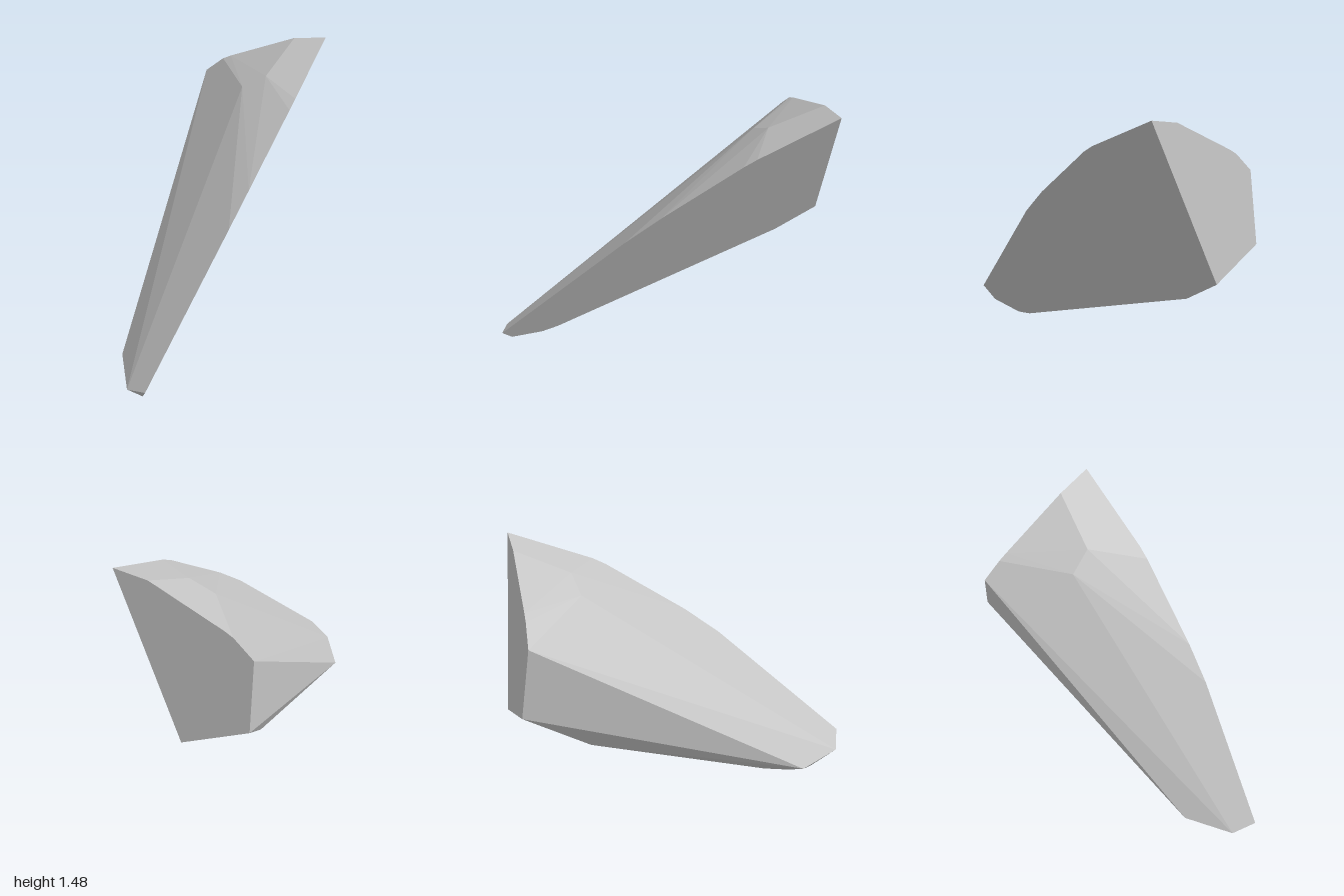
import * as THREE from 'three';
import { ConvexGeometry } from 'three/addons/geometries/ConvexGeometry.js';

// Height and depth on the large flat cleavage face give its x
const onCleavage = (y, z) => [-0.235 + 0.4356 * y - 0.1163 * z, y, z];
// Position across the broken back end gives its z
const onBack = (x, y) => [x, y, -1.065 + 0.166 * x + 0.143 * y];

export function createModel() {
  const model = new THREE.Group();
  model.name = 'rockShard';
  const stone = new THREE.MeshStandardMaterial({ color: 0xc3c3c3 });
  stone.name = 'light grey stone';

  // Outline of the flat face on the model's left
  const cleavage = [
    [1.48, -0.77], [1.29, -0.32], [1.25, -0.25], [0.95, 0.17], [0.8, 0.35],
    [0.14, 1], [0.05, 0.93], [0, 0.73], [0.01, 0.63], [0.44, -0.73], [0.58, -0.96],
  ].map(([y, z]) => onCleavage(y, z));

  // Outline of the broad back end
  const back = [
    [-0.24, 0.73], [-0.25, 1.135], [-0.14, 1.237], [-0.09, 1.265], [0.31, 1.45],
  ].map(([x, y]) => onBack(x, y));

  // Chipped corners of the ridge, pointed tip and underside
  const chips = [
    [0.03, 1.24, -0.53], [0.17, 1.32, -0.53],
    [-0.5, 0.08, 0.63], [-0.41, 0.08, 0.92],
    [-0.41, 0.015, 0.74], [-0.44, 0.06, 0.56],
    [-0.41, 0.095, 0.41], [-0.23, 0.45, -0.61],
  ];

  const points = [...cleavage, ...back, ...chips].map((p) => new THREE.Vector3(...p));
  const shard = new THREE.Mesh(new ConvexGeometry(points), stone);
  shard.name = 'shard';
  model.add(shard);
  return model;
}
